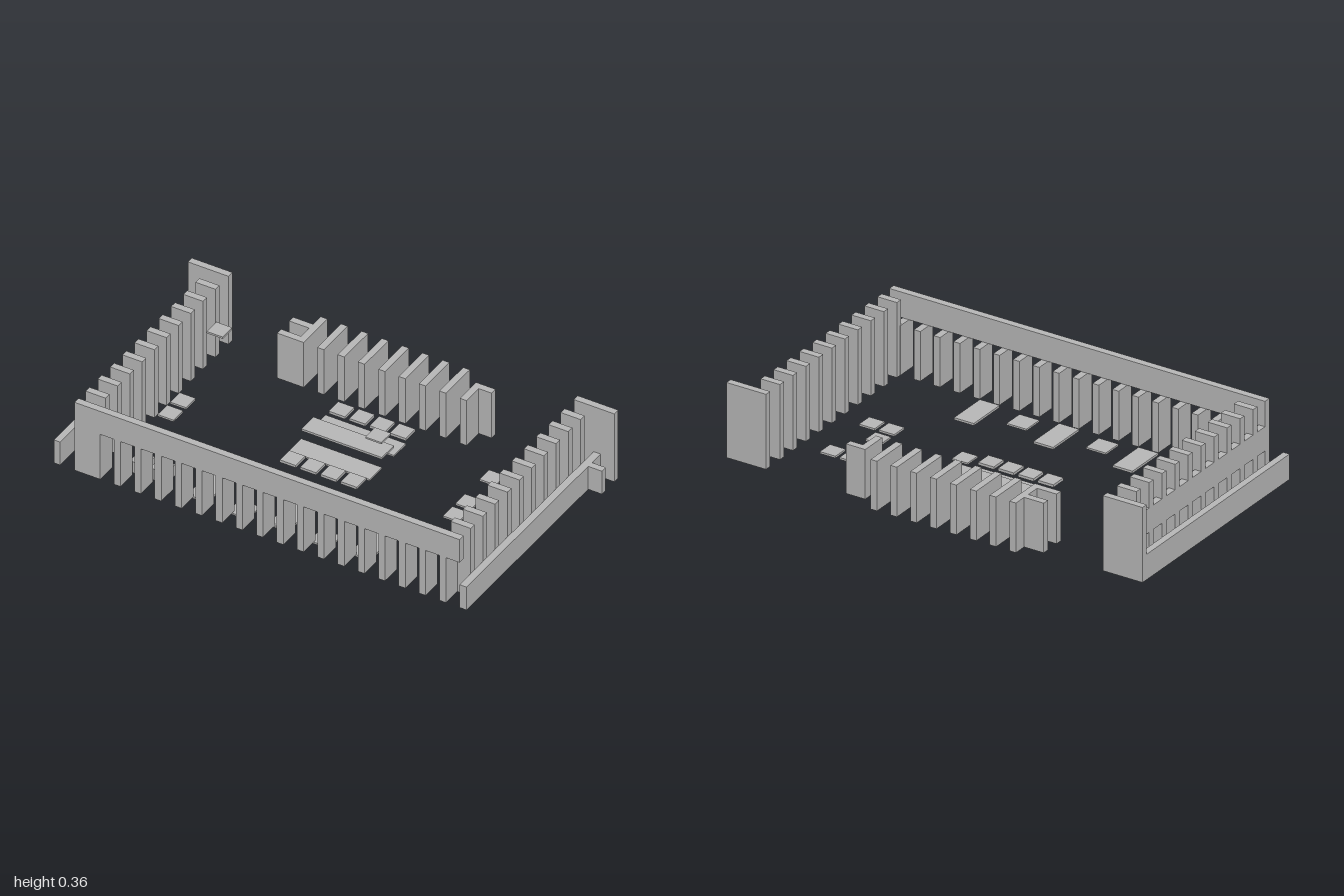
import * as THREE from 'three';

export function createModel() {
  const model = new THREE.Group();
  model.name = 'colonnadedCourtyard';
  const stone = new THREE.MeshStandardMaterial({ color: 0xb8b8b8 });
  stone.name = 'pale grey stone';

  // Box given by its low and high limits on each axis
  const box = (name, x0, x1, y0, y1, z0, z1) => {
    const mesh = new THREE.Mesh(new THREE.BoxGeometry(x1 - x0, y1 - y0, z1 - z0), stone);
    mesh.name = name;
    mesh.position.set((x0 + x1) / 2, (y0 + y1) / 2, (z0 + z1) / 2);
    model.add(mesh);
  };

  const base = 0.025, low = 0.14, mid = 0.25, top = 0.365;
  const step = 0.0954, t = 0.031; // fin spacing and thickness

  // Front wall: high beam, solid end panel and a row of fins below
  box('frontBeam', -0.903, 0.903, mid, top, 0.535, 0.567);
  box('frontEndPanel', -0.903, -0.782, base, mid, 0.535, 0.567);
  for (let i = 0; i < 18; i++) {
    const x = -0.813 + i * step;
    box('frontFin', x, x + t, base, mid, 0.473, 0.567);
  }

  // Side rows of tall fins, closed by a plate at the back
  for (const s of [-1, 1]) {
    const side = (name, a, b, y0, y1, z0, z1) =>
      box(name, Math.min(s * a, s * b), Math.max(s * a, s * b), y0, y1, z0, z1);
    for (let i = 0; i < 10; i++) {
      const z = 0.448 - i * step;
      side('sideFin', 0.81, 0.903, base, top, z, z + t);
    }
    side('backPlate', 0.81, 1, base, top, -0.513, -0.482);
  }
  box('rightRail', -0.903, -0.872, low, mid, -0.482, 0.535);
  box('rightLowWall', -1, -0.97, base, low, -0.482, 0.567);
  box('leftLowWall', 0.903, 0.936, base, low, -0.482, 0.567);
  box('leftPost', 0.936, 1, base, low, -0.415, -0.385);

  // Back row of fins with short return walls at its ends
  for (let i = 0; i < 8; i++) {
    const x = -0.431 + i * step;
    box('backFin', x, x + t, base, mid, -0.573, -0.387);
  }
  box('backEndFin', 0.333, 0.364, base, mid, -0.513, -0.387);
  box('backReturn', 0.364, 0.425, base, mid, -0.513, -0.482);
  box('backReturn', -0.525, -0.431, base, mid, -0.513, -0.482);
  box('backReturn', -0.525, -0.431, base, mid, -0.418, -0.387);

  // Central table: three long slabs and rows of seats on both sides
  box('tableSlab', -0.24, 0.138, 0.003, 0.011, -0.29, -0.196);
  box('tableSlab', -0.24, 0.138, 0.05, 0.06, -0.196, -0.102);
  box('tableSlab', -0.24, 0.138, 0.003, 0.011, -0.102, -0.006);
  box('tableTray', 0.055, 0.13, 0.118, 0.126, -0.186, -0.111);
  for (let i = 0; i < 4; i++) {
    const x = -0.231 + i * step;
    box('seat', x, x + 0.075, 0.013, 0.025, -0.377, -0.302);
    box('seat', x, x + 0.075, 0.013, 0.025, 0.007, 0.082);
  }

  // Paving slabs along the front, long and short by turns
  for (let i = 0; i < 5; i++) {
    const x = -0.431 + i * 2 * step;
    if (i % 2) box('shortSlab', x, x + 0.095, 0.003, 0.011, 0.378, 0.473);
    else box('longSlab', x, x + 0.095, 0.014, 0.024, 0.283, 0.473);
  }
  box('cornerSlab', -0.812, -0.718, 0.003, 0.011, 0.188, 0.283);
  for (const x of [-0.708, -0.612]) box('frontBlock', x, x + 0.075, base, 0.08, 0.386, 0.461);

  // Loose square tiles: x, y and z of the low corner
  const tiles = [
    [-0.804, 0.197, -0.377], [-0.804, 0.025, -0.091], [-0.804, 0.025, 0.007],
    [0.534, 0.027, -0.281], [0.628, 0.027, -0.281], [0.534, 0.027, -0.091],
    [0.534, 0.027, 0.007], [0.628, 0.027, 0.007],
  ];
  for (const [x, y, z] of tiles) box('tile', x, x + 0.075, y, y + 0.009, z, z + 0.075);

  // Rest the lowest slabs on the ground
  for (const part of model.children) part.position.y -= 0.003;
  return model;
}
